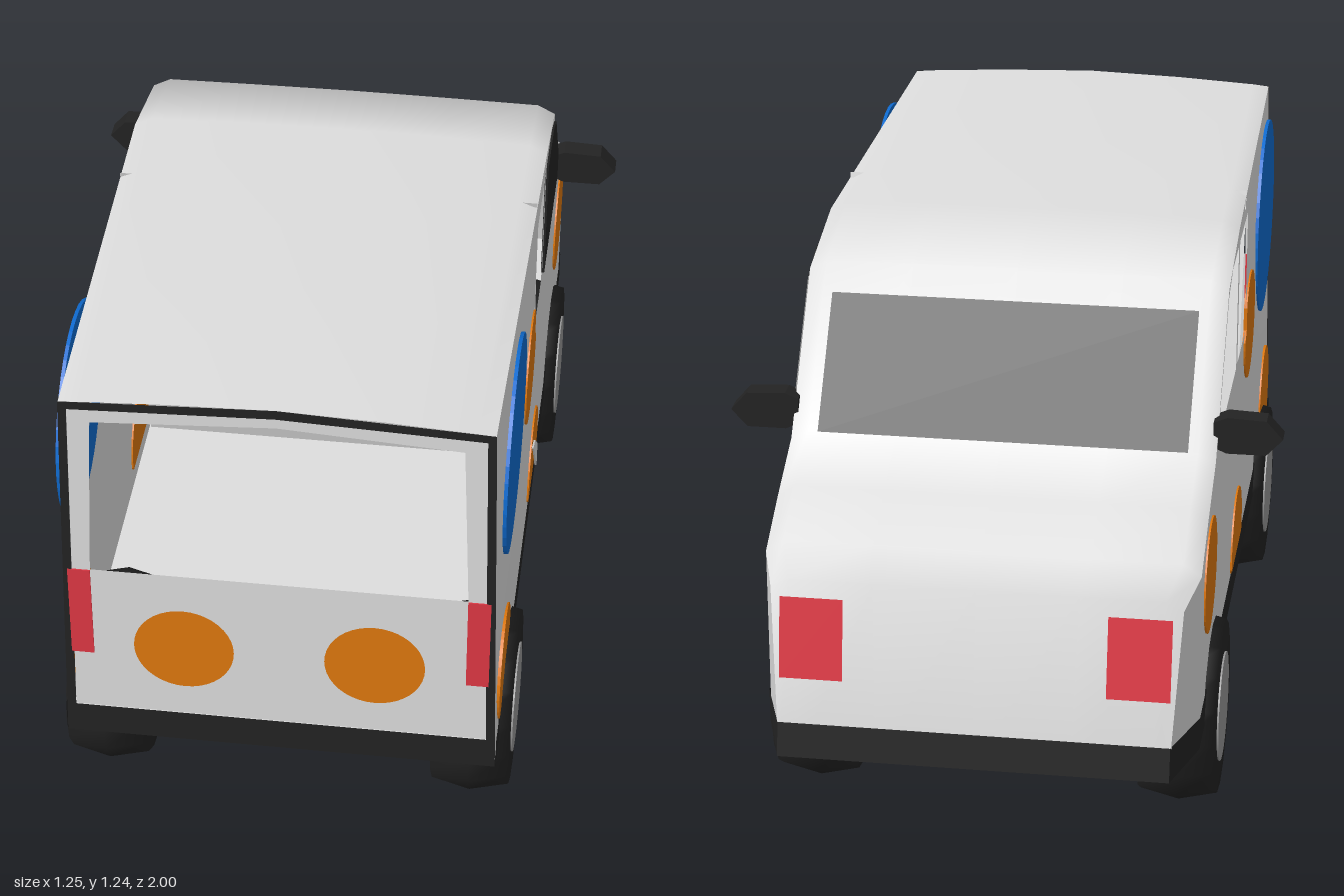
import * as THREE from 'three';

const D = THREE.DoubleSide;
const paint = (name, color, side = THREE.FrontSide) => {
  const m = new THREE.MeshStandardMaterial({ color, side });
  m.name = name;
  return m;
};

// Indexed surface through rows of [x, y, z] points
function grid(rows) {
  const n = rows[0].length, index = [];
  for (let r = 0; r < rows.length - 1; r++) {
    for (let c = 0; c < n - 1; c++) {
      const a = r * n + c, b = a + n;
      index.push(a, b, a + 1, b, b + 1, a + 1);
    }
  }
  const g = new THREE.BufferGeometry();
  g.setAttribute('position', new THREE.Float32BufferAttribute(rows.flat(2), 3));
  g.setIndex(index);
  g.computeVertexNormals();
  return g;
}

const shapeOf = (pts) => new THREE.Shape(pts.map((p) => new THREE.Vector2(...p)));
const mirrored = (half) => [...half, ...half.slice().reverse().map(([x, y]) => [-x, y])];

// Body stations: z, top height, half width, shoulder drop, edge drop
const STATIONS = [
  [1, 1.235, 0.46, 0.018, 0.022],
  [-0.05, 1.235, 0.48, 0.01, 0.03],
  [-0.3, 1.175, 0.48, 0.004, 0.025],
  [-0.55, 0.855, 0.48, 0, 0.02],
  [-0.71, 0.79, 0.48, 0, 0.03],
  [-0.84, 0.72, 0.48, 0, 0.03],
  [-0.93, 0.67, 0.452, 0, 0.02],
  [-1, 0.27, 0.43, 0, 0],
];

// Half width of the side wall at a given point
function wallX(z, y) {
  if (z > 0.99) return 0.48 - 0.02 * (y - 0.27) / 0.943;
  if (z < -0.84) return 0.48 - 0.05 * (-0.84 - z) / 0.16;
  return 0.48;
}

// Flat z/y outline placed on one side of the body
function sidePanel(pts, holes, s) {
  const shape = shapeOf(pts);
  holes.forEach((h) => shape.holes.push(shapeOf(h)));
  const g = new THREE.ShapeGeometry(shape);
  const p = g.attributes.position;
  for (let i = 0; i < p.count; i++) {
    const z = p.getX(i), y = p.getY(i);
    p.setXYZ(i, s * wallX(z, y), y, z);
  }
  g.computeVertexNormals();
  return g;
}

// Thin plate with a z/y outline, centred on the plane x
function sidePlate(pts, x, depth = 0.008) {
  const g = new THREE.ExtrudeGeometry(shapeOf(pts), { depth, bevelEnabled: false });
  g.rotateY(-Math.PI / 2);
  return g.translate(x + depth / 2, 0, 0);
}

export function createModel() {
  const white = paint('white paint', 0xdedede, D);
  const black = paint('black trim', 0x232323, D);
  const orange = paint('orange paint', 0xe0780e, D);
  const blue = paint('blue paint', 0x0f6cd2, D);
  const red = paint('red lamp', 0xe03844, D);
  const grey = paint('grey hub', 0x989898, D);

  const van = new THREE.Group();
  van.name = 'van';
  const add = (name, geometry, material, parent = van) => {
    const m = new THREE.Mesh(geometry, material);
    m.name = name;
    parent.add(m);
    return m;
  };

  // Roof, windscreen slope, bonnet and nose as one smooth skin
  add('upperBody', grid(STATIONS.map(([z, y, w, c, e]) => [
    [-w, y - e, z], [-w + 0.04, y - c, z], [-w / 2, y - c * 0.4, z], [0, y, z],
    [w / 2, y - c * 0.4, z], [w - 0.04, y - c, z], [w, y - e, z],
  ]).map((row) => row.reverse())), white);

  // Side walls with open windows
  const edge = STATIONS.map(([z, y, , , e]) => [z, y - e]);
  const rearOpening = [[0.18, 1.165], [-0.03, 1.165], [-0.03, 0.86], [0.18, 0.86]];
  const doorWindow = [[-0.06, 1.165], [-0.21, 1.165], [-0.3, 1.13], [-0.47, 0.92], [-0.515, 0.86], [-0.06, 0.86]];
  for (const s of [1, -1]) {
    const holes = s > 0 ? [rearOpening] : [rearOpening, doorWindow];
    add('sideWall', sidePanel([...edge.slice(0, 6), [-0.84, 0.27], [1, 0.27]], holes, s), white);
    add('noseCorner', sidePanel([...edge.slice(5), [-0.84, 0.27]], [], s), white);
  }
  add('doorGlass', sidePlate(doorWindow, 0.481), black);

  // Painted spots on both sides, trimmed at the window and the sill
  const spots = [
    [0.71, 0.965, 0.242, blue], [0.28, 0.84, 0.132, orange], [-0.645, 0.605, 0.132, orange],
    [0.82, 0.425, 0.132, orange], [0.04, 0.37, 0.132, orange],
  ];
  for (const [cz, cy, r, mat] of spots) {
    const pts = [];
    for (let i = 0; i < 40; i++) {
      const a = i / 40 * Math.PI * 2;
      let z = cz + r * Math.cos(a);
      const y = Math.max(cy + r * Math.sin(a), 0.34);
      if (y > 0.86 && cz > 0.1) z = Math.max(z, 0.18);
      pts.push([z, y]);
    }
    for (const s of [1, -1]) add('sideSpot', sidePlate(pts, s * 0.48), mat);
  }
  add('sillFlash', sidePlate([[0.12, 0.47], [0.05, 0.44], [-0.055, 0.345], [-0.055, 0.275], [0.02, 0.36], [0.09, 0.445]], 0.484), white);

  // Black sill wrapping the sides and the nose
  const plan = [[0.483, 1], [0.483, -0.84], [0.433, -1], [-0.433, -1], [-0.483, -0.84], [-0.483, 1]];
  add('sill', grid([0.27, 0.348].map((y) => plan.map(([x, z]) =>
    [x, y, z < -0.9 ? z - 0.003 + (y - 0.27) * 0.17 : z]))).toNonIndexed(), black).geometry.computeVertexNormals();

  // Floor and slanted bulkhead
  add('floor', grid([1, -0.84, -0.99].map((z) => [-1, 1].map((s) => [s * wallX(z, 0.28), 0.285, z]))), white);
  add('bulkhead', grid([[1.22, 0.17], [0.86, 0.08], [0.285, -0.07]].map(([y, z]) => [[-0.476, y, z], [0.476, y, z]])), white);

  // Rear door frame, panel with window opening, lamps and spots
  const innerEdge = mirrored([[0.46, 0.35], [0.443, 1.195], [0, 1.212]]);
  const frame = shapeOf(mirrored([[0.482, 0.27], [0.461, 1.214], [0, 1.235]]));
  frame.holes.push(shapeOf(innerEdge));
  add('rearFrame', new THREE.ShapeGeometry(frame).translate(0, 0, 1), black);
  const panel = shapeOf(innerEdge);
  panel.holes.push(shapeOf(mirrored([[0.412, 0.752], [0.396, 1.163], [0, 1.187]])));
  add('rearDoors', new THREE.ShapeGeometry(panel).translate(0, 0, 0.998), white);
  for (const s of [1, -1]) {
    add('tailLamp', new THREE.BoxGeometry(0.05, 0.24, 0.006).translate(s * 0.437, 0.63, 0.998), red);
    add('rearSpot', new THREE.CircleGeometry(0.111, 40).translate(s * 0.211, 0.543, 1), orange);
  }

  // Windscreen glass and front lamps as thin faces on the slopes
  const slope = (x0, x1, top, low) => grid([top, low].map(([y, z]) => [[x1, y, z], [x0, y, z]]));
  add('windscreen', slope(-0.418, 0.418, [1.116, -0.355], [0.857, -0.557]), black);
  for (const s of [1, -1]) {
    add('frontLamp', slope(s * 0.36 - 0.07, s * 0.36 + 0.07, [0.632, -0.942], [0.45, -0.974]), red);
  }

  // Wing mirrors
  const mirror = shapeOf([[0.47, 0.855], [0.5, 0.842], [0.588, 0.842], [0.625, 0.882], [0.588, 0.924], [0.5, 0.928], [0.47, 0.915]]);
  for (const s of [1, -1]) {
    const g = new THREE.ExtrudeGeometry(mirror, { depth: 0.05, bevelEnabled: false }).translate(0, 0, -0.515);
    if (s < 0) g.rotateY(Math.PI).translate(0, 0, -0.98);
    add('wingMirror', g, black);
  }

  // Wheels with bevelled tyres and plain hubs
  const tyre = [[0, -0.088], [0.2, -0.088], [0.22, 0], [0.2, 0.088], [0, 0.088]].map((p) => new THREE.Vector2(...p));
  for (const s of [1, -1]) {
    for (const z of [0.715, -0.535]) {
      const wheel = new THREE.Group();
      wheel.name = 'wheel';
      add('tyre', new THREE.LatheGeometry(tyre, 16), black, wheel);
      add('hub', new THREE.CylinderGeometry(0.126, 0.126, 0.006, 24).translate(0, 0.089, 0), grey, wheel);
      wheel.rotation.z = -s * Math.PI / 2;
      wheel.position.set(s * 0.417, 0.22, z);
      van.add(wheel);
    }
  }
  return van;
}
